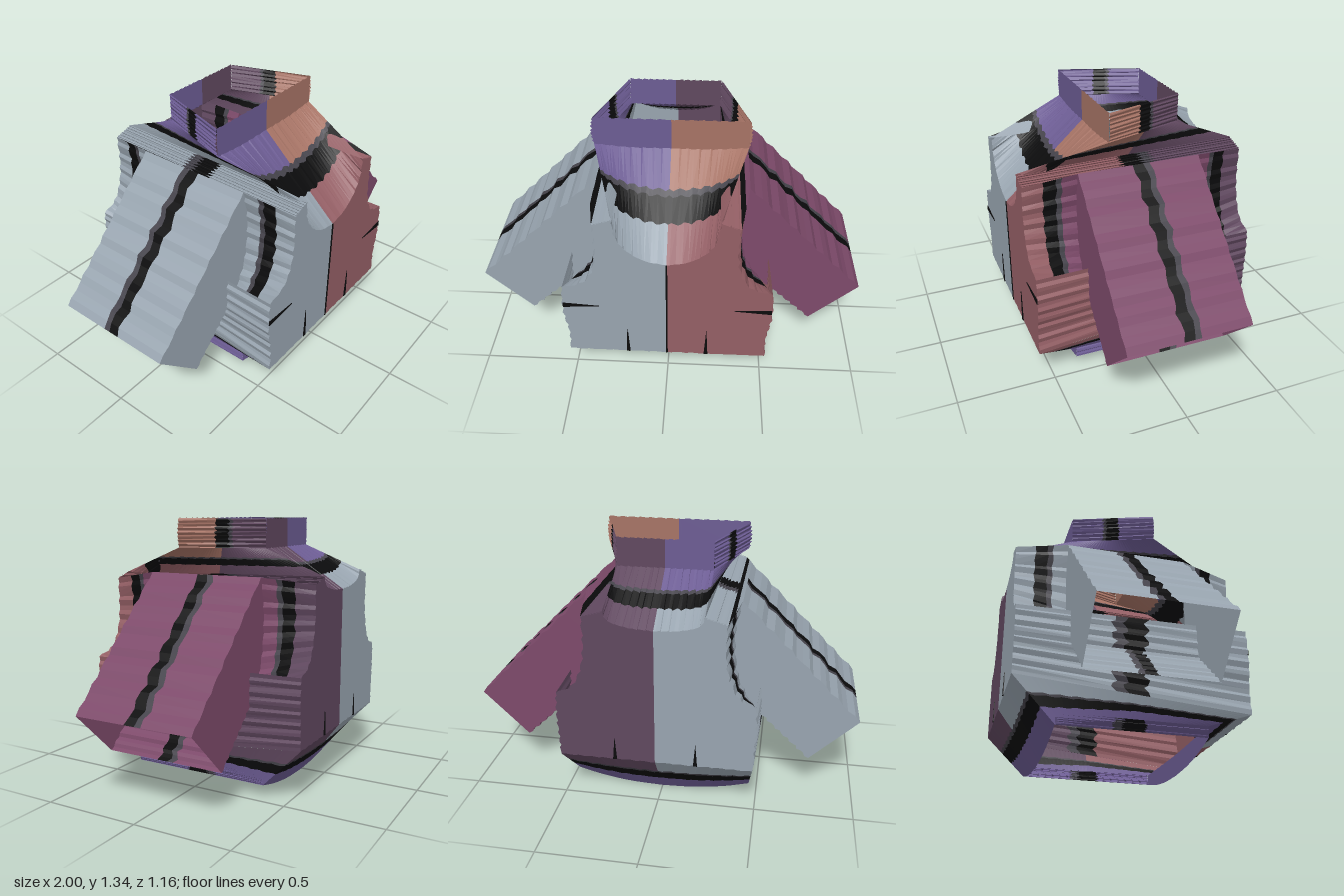
import * as THREE from 'three';

const mat = (name, color) => {
  const m = new THREE.MeshStandardMaterial({ color, side: THREE.DoubleSide, flatShading: true });
  m.name = name;
  return m;
};
const grey = mat('grey', 0x98a4af), rose = mat('rose', 0x945f65), plum = mat('plum', 0x7d4a6a);
const dark = mat('darkPlum', 0x60485f), violet = mat('violet', 0x6c5c93), clay = mat('clay', 0xa67365);
const black = mat('black', 0x0b0b0c), shade = mat('charcoal', 0x45434b);

const N = 20, FRONT = 0.577, BACK = -0.577, SLEEVE = 0.315;

// Evenly sampled cut line at depth z, slightly ragged between its ends
function edge(points, z, s = 1, rag = 0.006) {
  const curve = new THREE.CatmullRomCurve3(points.map(([x, y]) => new THREE.Vector3(x, y, z)), false, 'centripetal');
  return curve.getSpacedPoints(N).map((p, i) => {
    const r = i > 0 && i < N ? rag * Math.sin(i * 2.3 + points.length) : 0;
    return new THREE.Vector3((p.x + r) * s, p.y + r * 0.5, p.z);
  });
}
// Straight line of samples between two 3D points
function line(a, b, s = 1) {
  return Array.from({ length: N + 1 }, (_, i) => {
    const p = new THREE.Vector3(...a).lerp(new THREE.Vector3(...b), i / N);
    p.x *= s;
    return p;
  });
}

export function createModel() {
  const root = new THREE.Group();

  // Seam fabric between two edges; bands are [start, end, material] across it
  function bridge(name, a, b, bands) {
    const g = new THREE.Group();
    g.name = name;
    for (const [u0, u1, m] of bands) {
      const at = (i, u) => {
        const w = u > 0 && u < 1 ? u + 0.015 * Math.sin(i * 1.9 + u * 9) : u;
        return a[i].clone().lerp(b[i], w);
      };
      const pos = [];
      for (let i = 0; i < N; i++) {
        const p = at(i, u0), q = at(i, u1), r = at(i + 1, u1), t = at(i + 1, u0);
        for (const v of [p, q, r, p, r, t]) pos.push(v.x, v.y, v.z);
      }
      const geo = new THREE.BufferGeometry();
      geo.setAttribute('position', new THREE.Float32BufferAttribute(pos, 3));
      geo.computeVertexNormals();
      const mesh = new THREE.Mesh(geo, m);
      mesh.name = name + 'Band';
      g.add(mesh);
    }
    root.add(g);
  }
  // Flat cloth piece from joined cut lines
  function panel(name, edges, m) {
    const pts = edges.flat();
    const mesh = new THREE.Mesh(new THREE.ShapeGeometry(new THREE.Shape(pts.map(p => new THREE.Vector2(p.x, p.y)))), m);
    mesh.position.z = pts[0].z;
    mesh.name = name;
    root.add(mesh);
  }
  // Thin plate for stitched darts, visible inside and out
  function dart(name, pts, z) {
    const shape = new THREE.Shape(pts.map(p => new THREE.Vector2(...p)));
    const mesh = new THREE.Mesh(new THREE.ExtrudeGeometry(shape, { depth: 0.008, bevelEnabled: false }), black);
    mesh.position.z = z - 0.004;
    mesh.name = name;
    root.add(mesh);
  }
  const seam = (a, b) => [[0, 0.45, a], [0.45, 0.54, black], [0.54, 0.59, shade], [0.59, 1, b]];
  const narrow = (a, b) => [[0, 0.38, a], [0.38, 0.62, black], [0.62, 0.72, shade], [0.72, 1, b]];
  const wide = (a, b) => [[0, 0.36, a], [0.36, 0.42, shade], [0.42, 0.66, black], [0.66, 1, b]];

  // Cut lines of one half
  const frontSide = [[0.51, 0.18], [0.505, 0.3], [0.525, 0.43], [0.525, 0.54], [0.52, 0.62]];
  const backSide = [[0.485, 0.28], [0.49, 0.4], [0.495, 0.52], [0.49, 0.63]];
  const frontArm = [[0.52, 0.62], [0.41, 0.66], [0.355, 0.76], [0.34, 0.9], [0.345, 1.02]];
  const backArm = [[0.49, 0.63], [0.41, 0.67], [0.36, 0.77], [0.34, 0.9], [0.345, 1.04]];
  const frontNeck = [[0.25, 1.05], [0.24, 0.95], [0.19, 0.87], [0.1, 0.81], [0, 0.79]];
  const backNeck = [[0.24, 1.07], [0.22, 1.03], [0.13, 1], [0, 0.99]];
  const cap = [[0.47, 0.49], [0.39, 0.64], [0.365, 0.76], [0.36, 0.92], [0.39, 1.067]];
  const collarFront = [[0.38, 1.195], [0.2, 1.18], [0, 1.18]];
  const collarBack = [[0.24, 1.195], [0.12, 1.195], [0, 1.195]];
  const hemTop = [[0.46, 0.12], [0.23, 0.115], [0, 0.11]];
  const hemLow = [[0.46, 0.065], [0.34, 0.034], [0.18, 0.009], [0, 0]];

  for (const s of [1, -1]) {
    const f = s > 0 ? rose : grey, b = s > 0 ? dark : grey, sl = s > 0 ? plum : grey;
    const cf = s > 0 ? clay : violet, cb = s > 0 ? dark : violet;
    const E = (p, z, rag) => edge(p, z, s, rag);

    // Body panels
    const fs = E(frontSide, FRONT), bs = E(backSide, BACK);
    const fa = E(frontArm, FRONT), ba = E(backArm, BACK);
    const fsh = E([[0.345, 1.02], [0.25, 1.05]], FRONT), bsh = E([[0.345, 1.04], [0.24, 1.07]], BACK);
    const fn = E(frontNeck, FRONT), bn = E(backNeck, BACK);
    const fb = E([[0, 0.18], [0.51, 0.18]], FRONT), bb = E([[0, 0.28], [0.485, 0.28]], BACK);
    panel('frontPanel', [fb, fs, fa, fsh, fn], f);
    panel('backPanel', [bb, bs, ba, bsh, bn], b);
    bridge('bodySide', fs, bs, seam(f, b));
    bridge('shoulder', fsh, bsh, seam(f, b));

    // Sleeve: two flat panels, top and underarm strips, armhole joins
    const top = z => E([[0.39, 1.067], [1, 0.455]], z), low = z => E([[0.76, 0.22], [0.47, 0.49]], z);
    for (const z of [SLEEVE, -SLEEVE]) panel('sleevePanel', [E(cap, z), top(z), low(z)], sl);
    bridge('sleeveTop', top(SLEEVE), top(-SLEEVE), seam(sl, sl));
    bridge('sleeveUnderside', low(SLEEVE), low(-SLEEVE), seam(sl, sl));
    bridge('frontArmhole', fa, E(cap, SLEEVE), narrow(f, sl));
    bridge('backArmhole', ba, E(cap, -SLEEVE), narrow(b, sl));
    bridge('shoulderSeam', line([0.345, 1.02, FRONT], [0.345, 1.04, BACK], s),
      line([0.39, 1.067, SLEEVE], [0.39, 1.067, -SLEEVE], s), [[0, 0.5, black], [0.5, 1, sl]]);

    // Collar
    const CF = 0.155, CB = -0.265;
    const cfl = E(collarFront, CF), cbl = E(collarBack, CB);
    panel('collarFront', [cfl, E([[0, 1.34], [0.38, 1.34]], CF)], cf);
    panel('collarBack', [cbl, E([[0, 1.34], [0.24, 1.34]], CB)], cb);
    bridge('collarSide', E([[0.38, 1.195], [0.39, 1.26], [0.38, 1.34]], CF), E([[0.24, 1.195], [0.24, 1.34]], CB),
      [[0, 0.43, cf], [0.43, 0.58, black], [0.58, 0.62, shade], [0.62, 1, cb]]);
    bridge('frontNeckline', cfl, fn, wide(cf, f));
    bridge('backNeckline', cbl, bn, wide(cb, b));
    const mid = [0.31, 1.195, -0.055], midLow = [0.245, 1.06, 0];
    bridge('neckSideFront', line([0.38, 1.195, CF], mid, s), line([0.25, 1.05, FRONT], midLow, s), wide(cf, f));
    bridge('neckSideBack', line(mid, [0.24, 1.195, CB], s), line(midLow, [0.24, 1.07, BACK], s), wide(cb, b));

    // Hem band
    const H = 0.368;
    const ht = E(hemTop, H, 0.002), hl = E(hemLow, H, 0), hb = E(hemLow, -H, 0), htb = E(hemTop, -H, 0.002);
    panel('hemFront', [ht, hl.slice().reverse()], violet);
    panel('hemBack', [htb, hb.slice().reverse()], violet);
    bridge('hemSide', E([[0.46, 0.065], [0.46, 0.12]], H), E([[0.46, 0.065], [0.46, 0.12]], -H),
      [[0, 0.42, violet], [0.42, 0.57, black], [0.57, 0.63, shade], [0.63, 1, violet]]);
    bridge('hemFrontJoin', fb.slice().reverse(), ht, wide(f, violet));
    bridge('hemBackJoin', bb.slice().reverse(), hb, wide(b, violet));
    const sideMid = [0.5, 0.23, 0], hemMid = [0.46, 0.12, 0];
    bridge('hemSideJoinFront', line([0.51, 0.18, FRONT], sideMid, s), line([0.46, 0.12, H], hemMid, s), wide(f, violet));
    bridge('hemSideJoinBack', line(sideMid, [0.485, 0.28, BACK], s), line(hemMid, [0.46, 0.065, -H], s), wide(b, violet));

    // Darts
    dart('sideDart', [[0.525 * s, 0.488], [0.525 * s, 0.515], [0.34 * s, 0.502]], FRONT);
    dart('frontWaistDart', [[0.193 * s, 0.18], [0.213 * s, 0.18], [0.203 * s, 0.36]], FRONT);
    dart('backWaistDart', [[0.193 * s, 0.28], [0.213 * s, 0.28], [0.203 * s, 0.4]], BACK);
  }
  // Centre front seam
  dart('centreSeam', [[-0.004, 0.18], [0.004, 0.18], [0.004, 0.79], [-0.004, 0.79]], FRONT);
  return root;
}
